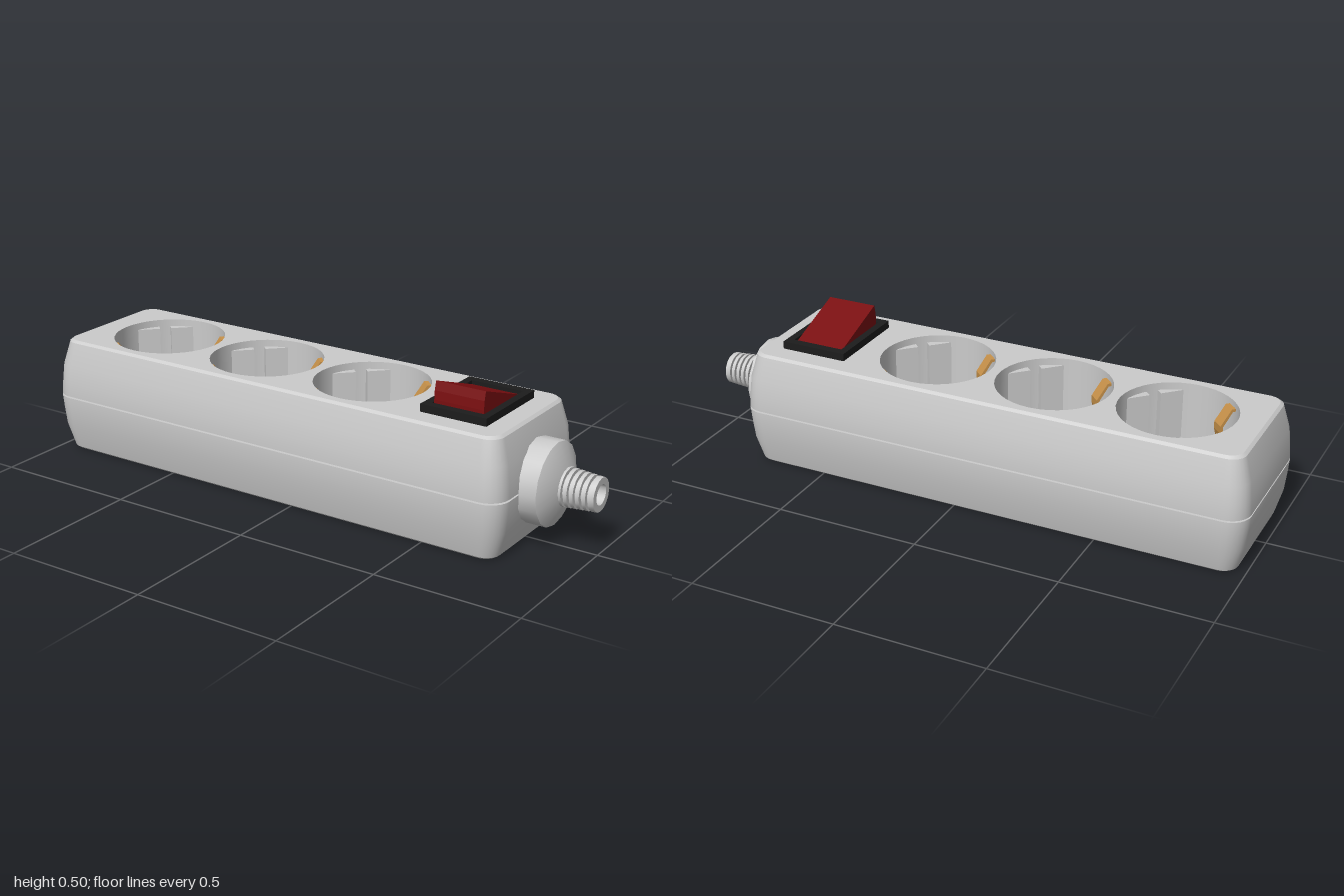
import * as THREE from 'three';
import { toCreasedNormals } from 'three/addons/utils/BufferGeometryUtils.js';

const TOP = 0.405, MID_X = -0.105, WELL_R = 0.195, WELL_DEPTH = 0.2;
const SOCKETS = [-0.68, -0.255, 0.17];

const material = (color, side = THREE.FrontSide) => new THREE.MeshStandardMaterial({ color, side });
const grey = material(0xcccccc);
const greyDouble = material(0xcccccc, THREE.DoubleSide);
const brass = material(0xc8924a);
const holeRed = material(0x5a1a1e);
const black = material(0x1c1c1c);
const red = material(0x7a0e10);

function add(parent, name, geometry, mat) {
  const mesh = new THREE.Mesh(geometry, mat);
  mesh.name = name;
  parent.add(mesh);
  return mesh;
}

// Rounded rectangle outline of the body, shrunk by d
function outline(d) {
  const r = 0.07 - d * 0.6, hx = 0.895 - d - r, hz = 0.265 - d - r, steps = 6, pts = [];
  [[1, 1], [-1, 1], [-1, -1], [1, -1]].forEach(([sx, sy], q) => {
    for (let i = 0; i <= steps; i++) {
      const a = (q + i / steps) * Math.PI / 2;
      pts.push(new THREE.Vector2(MID_X + sx * hx + r * Math.cos(a), sy * hz + r * Math.sin(a)));
    }
  });
  return pts;
}

function circle(cx, r, n) {
  return Array.from({ length: n }, (_, i) => {
    const a = i / n * Math.PI * 2;
    return new THREE.Vector2(cx + r * Math.cos(a), r * Math.sin(a));
  });
}

// Bulging side wall lofted through [height, inset] levels, with the seam groove
function wallGeometry() {
  const levels = [[0, 0.042], [0.008, 0.032], [0.09, 0.01], [0.15, 0.004], [0.2, 0], [0.2, 0.012],
    [0.206, 0.012], [0.206, 0], [0.256, 0.004], [0.316, 0.01], [0.397, 0.032], [TOP, 0.042]];
  const pos = [], idx = [];
  let n = 0;
  for (const [y, d] of levels) {
    const ring = outline(d);
    n = ring.length;
    ring.forEach(p => pos.push(p.x, y, -p.y));
  }
  for (let l = 0; l < levels.length - 1; l++) {
    for (let i = 0; i < n; i++) {
      const j = (i + 1) % n, a = l * n + i, b = l * n + j;
      idx.push(a, b, b + n, a, b + n, a + n);
    }
  }
  const g = new THREE.BufferGeometry();
  g.setAttribute('position', new THREE.Float32BufferAttribute(pos, 3));
  g.setIndex(idx);
  return toCreasedNormals(g, 0.5);
}

function makeBody() {
  const body = new THREE.Group();
  body.name = 'body';
  add(body, 'sideWall', wallGeometry(), grey);
  const topShape = new THREE.Shape(outline(0.042));
  SOCKETS.forEach(x => topShape.holes.push(new THREE.Path(circle(x, WELL_R, 40))));
  add(body, 'topPlate', new THREE.ShapeGeometry(topShape).rotateX(-Math.PI / 2), grey).position.y = TOP;
  add(body, 'bottomPlate', new THREE.ShapeGeometry(new THREE.Shape(outline(0.042))).rotateX(Math.PI / 2), grey);
  return body;
}

// One socket: pins lie along local x, earth clips along local z
function makeSocket() {
  const socket = new THREE.Group();
  socket.name = 'socket';
  const wall = new THREE.CylinderGeometry(WELL_R, WELL_R, WELL_DEPTH, 40, 1, true);
  add(socket, 'wellWall', wall, greyDouble).position.y = -WELL_DEPTH / 2;
  add(socket, 'wellFloor', new THREE.CircleGeometry(WELL_R, 40).rotateX(-Math.PI / 2), grey).position.y = -WELL_DEPTH;

  // Guide: flat-faced wall filler split by a slot
  const flat = 0.167, slot = 0.02;
  const a0 = Math.asin(slot / WELL_R), a1 = Math.acos(flat / WELL_R);
  const halves = [1, -1].map(s => {
    const pts = [new THREE.Vector2(flat, s * slot)];
    for (let i = 0; i <= 6; i++) {
      const a = a0 + (a1 - a0) * i / 6;
      pts.push(new THREE.Vector2(WELL_R * Math.cos(a), s * WELL_R * Math.sin(a)));
    }
    return new THREE.Shape(pts);
  });
  const guide = new THREE.ExtrudeGeometry(halves, { depth: WELL_DEPTH - 0.025, bevelEnabled: false });
  guide.rotateX(-Math.PI / 2);

  // Earth clip: bent brass strip
  const clipShape = new THREE.Shape([[0.194, -0.02], [0.18, -0.02], [0.143, -0.075], [0.143, -0.1],
    [0.17, -0.2], [0.18, -0.2], [0.153, -0.1], [0.153, -0.078], [0.184, -0.03], [0.194, -0.03]]
    .map(p => new THREE.Vector2(...p)));
  const clip = new THREE.ExtrudeGeometry(clipShape, { depth: 0.044, bevelEnabled: false });
  clip.translate(0, 0, -0.022);

  for (const s of [1, -1]) {
    const turn = s > 0 ? 0 : Math.PI;
    const g = add(socket, 'guide', guide, grey);
    g.position.y = -WELL_DEPTH;
    g.rotation.y = turn;
    add(socket, 'earthClip', clip, brass).rotation.y = turn + Math.PI / 2;
    const pin = add(socket, 'pinHole', new THREE.CylinderGeometry(0.028, 0.028, 0.004, 20), holeRed);
    pin.position.set(s * 0.096, -WELL_DEPTH + 0.002, 0);
  }
  socket.rotation.y = -Math.PI / 4;
  return socket;
}

function makeSwitch() {
  const group = new THREE.Group();
  group.name = 'switch';
  const rect = (C, w, h) => new C([[-w, -h], [w, -h], [w, h], [-w, h]].map(p => new THREE.Vector2(...p)));
  const frameShape = rect(THREE.Shape, 0.1175, 0.155);
  frameShape.holes.push(rect(THREE.Path, 0.092, 0.125));
  const frame = new THREE.ExtrudeGeometry(frameShape, { depth: 0.026, bevelEnabled: false });
  add(group, 'switchFrame', frame.rotateX(-Math.PI / 2), black);
  add(group, 'switchRecess', new THREE.BoxGeometry(0.19, 0.008, 0.26), black).position.y = 0.004;

  // Rocker side profile as [z, y], high edge at the front
  const side = new THREE.Shape([[0.118, 0.004], [0.119, 0.035], [0.117, 0.065], [0.11, 0.095],
    [-0.12, 0.015], [-0.12, 0.004]].map(([z, y]) => new THREE.Vector2(-z, y)));
  const rocker = new THREE.ExtrudeGeometry(side, { depth: 0.176, bevelEnabled: false });
  add(group, 'rocker', rocker.translate(0, 0, -0.088).rotateY(Math.PI / 2), red);
  group.position.set(0.5625, TOP, 0);
  return group;
}

// Collar and ribbed strain relief turned around the x axis
function makeCableGland() {
  const group = new THREE.Group();
  group.name = 'cableGland';
  const turned = profile => toCreasedNormals(
    new THREE.LatheGeometry(profile.map(([x, r]) => new THREE.Vector2(r, x)), 16).rotateZ(-Math.PI / 2), 0.5);
  add(group, 'collar', turned([[0.74, 0.139], [0.848, 0.139], [0.885, 0.068], [0.885, 0.04]]), greyDouble);

  const profile = [[0.88, 0.065]];
  for (let i = 0; i < 5; i++) {
    const x = 0.893 + i * 0.02, r = 0.064 - i * 0.0015;
    profile.push([x, r], [x, r - 0.014], [x + 0.008, r - 0.014], [x + 0.008, r - 0.001]);
  }
  profile.push([1, 0.056], [1, 0.034], [0.94, 0.034], [0.94, 0]);
  add(group, 'strainRelief', turned(profile), greyDouble);
  group.position.y = 0.203;
  return group;
}

export function createModel() {
  const model = new THREE.Group();
  model.name = 'powerStrip';
  model.add(makeBody(), makeSwitch(), makeCableGland());
  for (const x of SOCKETS) {
    const socket = makeSocket();
    socket.position.set(x, TOP, 0);
    model.add(socket);
  }
  return model;
}
